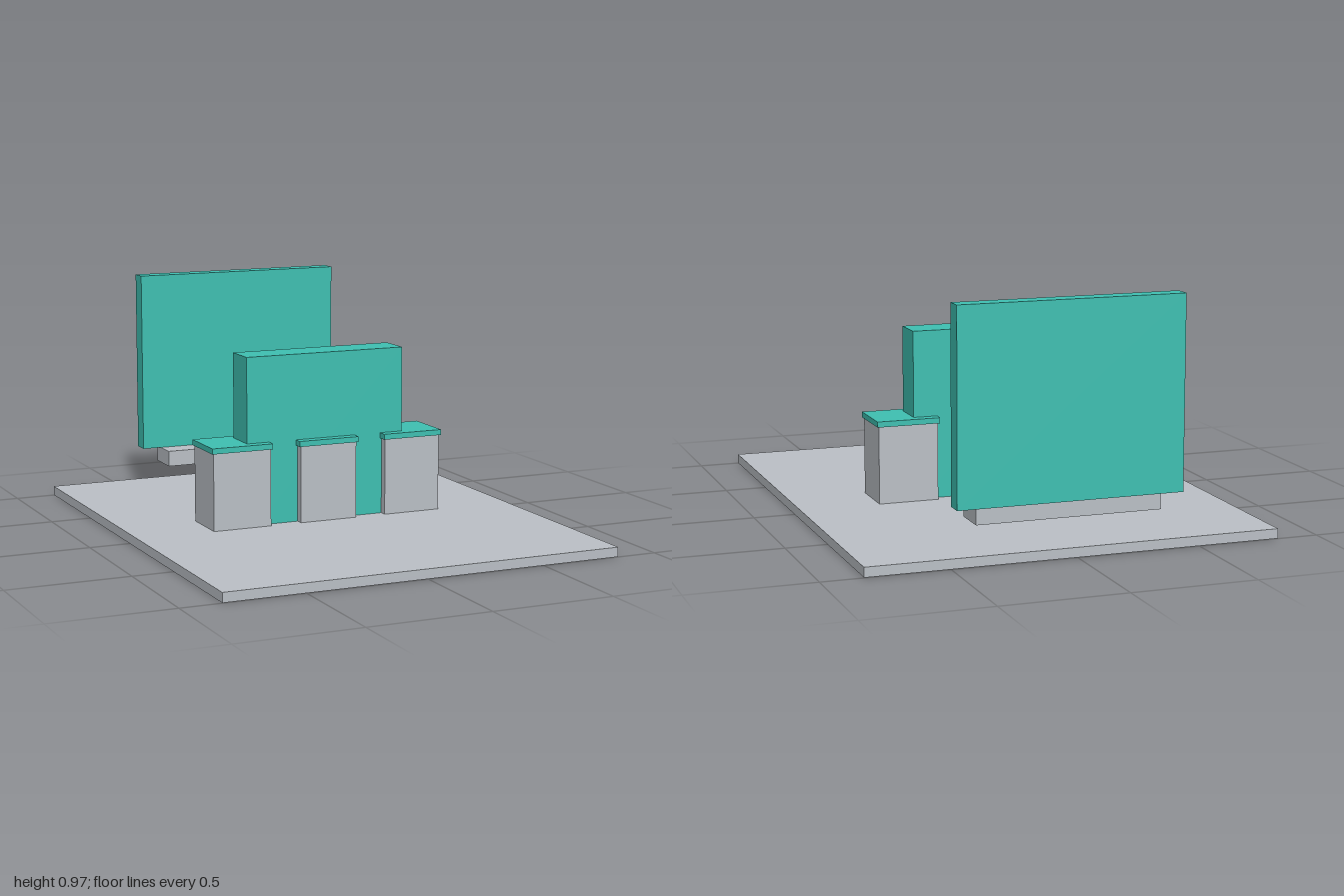
import * as THREE from 'three';

const teal = new THREE.MeshStandardMaterial({ name: 'teal', color: 0x3fc1b3 });
const grey = new THREE.MeshStandardMaterial({ name: 'grey', color: 0xbcc1c7 });

// Box given by its ranges along x, y and z
function block(name, material, [x0, x1], [y0, y1], [z0, z1]) {
  const mesh = new THREE.Mesh(new THREE.BoxGeometry(x1 - x0, y1 - y0, z1 - z0), material);
  mesh.position.set((x0 + x1) / 2, (y0 + y1) / 2, (z0 + z1) / 2);
  mesh.name = name;
  return mesh;
}

export function createModel() {
  const model = new THREE.Group();
  model.name = 'monument';

  // Ground slab, a hair above zero so the upright's foot shows underneath
  model.add(block('baseSlab', grey, [-0.833, 0.833], [0.001, 0.04], [-1, 1]));

  // Central upright passing through the base
  model.add(block('centralUpright', teal, [-0.35, 0.348], [0, 0.735], [-0.072, 0.072]));

  // Three capped pedestals around the upright
  for (const x of [-0.384, -0.002, 0.38]) {
    const pedestal = new THREE.Group();
    pedestal.name = 'pedestal';
    pedestal.add(
      block('pedestalBlock', grey, [-0.125, 0.125], [0.04, 0.358], [-0.105, 0.105]),
      block('pedestalCap', teal, [-0.132, 0.132], [0.358, 0.381], [-0.112, 0.112]),
    );
    pedestal.position.x = x;
    model.add(pedestal);
  }

  // Raised rear panel and the ledge below it
  model.add(block('rearPanel', teal, [-0.458, 0.455], [0.202, 0.97], [-0.936, -0.865]));
  model.add(block('rearLedge', grey, [-0.376, 0.373], [0.135, 0.202], [-0.912, -0.766]));

  return model;
}
